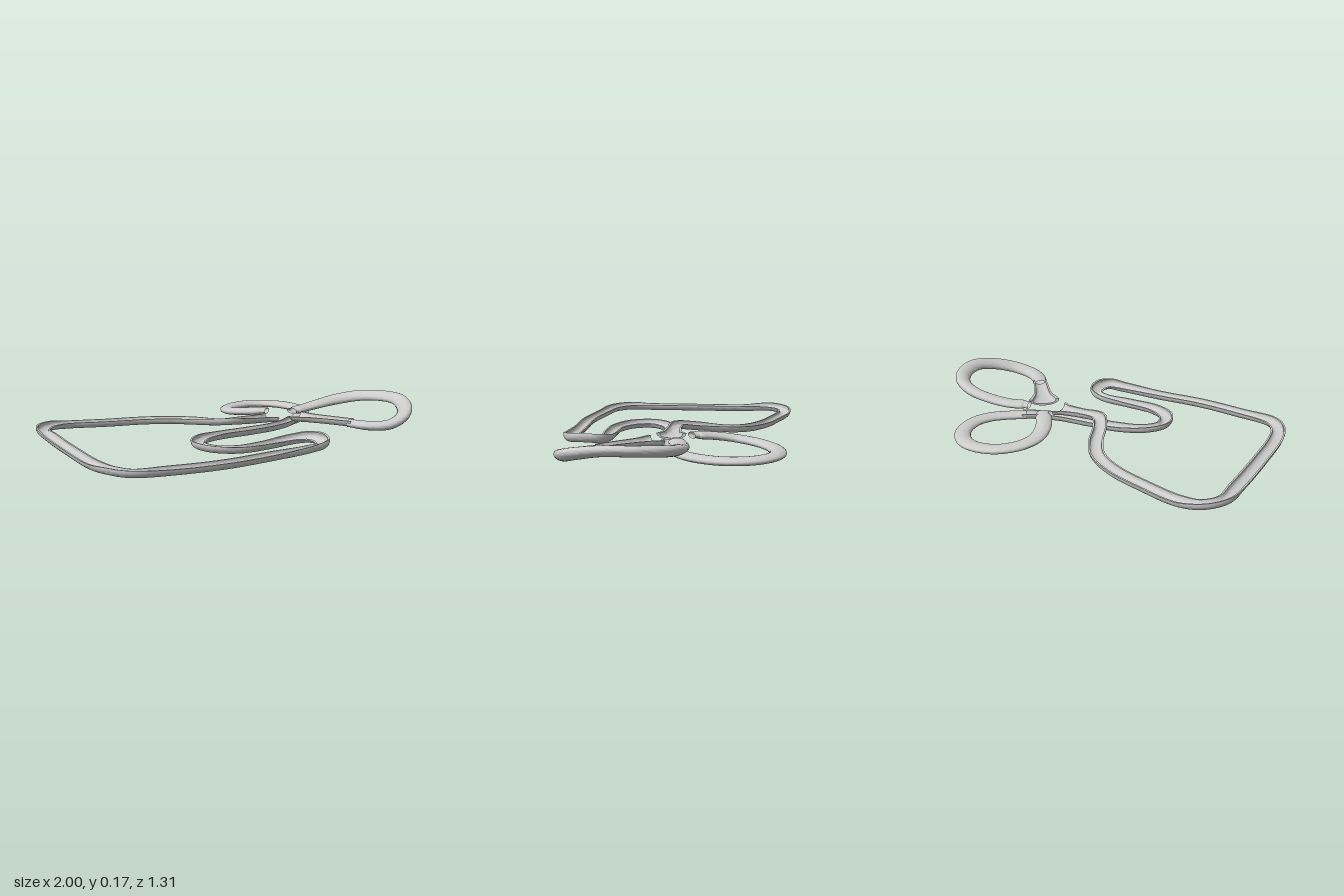
import * as THREE from 'three';
import { toCreasedNormals } from 'three/addons/utils/BufferGeometryUtils.js';

const material = new THREE.MeshStandardMaterial({ color: 0xcccccc, side: THREE.DoubleSide });

// Open trough wall: round outer arc left to right, flatter inner floor back again
function channelSection() {
  const ring = [], n = 14;
  const soft = (v, power) => Math.sign(v) * Math.abs(v) ** power;
  for (let i = 0; i <= n; i++) {
    const a = Math.PI * (1 + i / n);
    ring.push([0.038 * Math.cos(a), 0.018 + 0.036 * Math.sin(a)]);
  }
  for (let i = n; i >= 0; i--) {
    const a = Math.PI * (1 + i / n);
    ring.push([0.029 * soft(Math.cos(a), 0.85), 0.018 + 0.025 * soft(Math.sin(a), 0.6)]);
  }
  return ring;
}

// Flattened closed tube
function tubeSection() {
  const ring = [], n = 24;
  for (let i = 0; i < n; i++) {
    const a = (2 * Math.PI * i) / n;
    ring.push([0.042 * Math.cos(a), 0.02 * Math.sin(a)]);
  }
  return ring;
}

// Sweeps a section along rows of [x, y, z, bank = 0, width = 1, height = 1]
function sweep(name, rows, ring, capped) {
  const path = new THREE.CatmullRomCurve3(rows.map(([x, y, z]) => new THREE.Vector3(x, y, z)));
  const extra = new THREE.CatmullRomCurve3(
    rows.map(([, , , bank = 0, w = 1, h = 1]) => new THREE.Vector3(bank, w, h)), false, 'catmullrom', 0.3);
  const steps = (rows.length - 1) * 10, n = ring.length;
  const positions = [], index = [];
  for (let i = 0; i <= steps; i++) {
    const p = path.getPoint(i / steps), t = path.getTangent(i / steps), e = extra.getPoint(i / steps);
    const right = new THREE.Vector3(-t.z, 0, t.x).normalize();
    const up = new THREE.Vector3().crossVectors(right, t);
    right.applyAxisAngle(t, -e.x);
    up.applyAxisAngle(t, -e.x);
    for (const [r, u] of ring) {
      const v = p.clone().addScaledVector(right, r * e.y).addScaledVector(up, u * e.z);
      positions.push(v.x, v.y, v.z);
    }
  }
  for (let i = 0; i < steps; i++) {
    for (let j = 0; j < n; j++) {
      const a = i * n + j, b = i * n + ((j + 1) % n);
      index.push(a, a + n, b, b, a + n, b + n);
    }
  }
  // Close the wall thickness at both ends
  if (capped) {
    for (let j = 0; j < n / 2 - 1; j++) {
      const a = j, b = j + 1, c = n - 2 - j, d = n - 1 - j, s = steps * n;
      index.push(a, b, c, a, c, d, s + a, s + c, s + b, s + a, s + d, s + c);
    }
  }
  const geometry = new THREE.BufferGeometry();
  geometry.setAttribute('position', new THREE.Float32BufferAttribute(positions, 3));
  geometry.setIndex(index);
  const mesh = new THREE.Mesh(toCreasedNormals(geometry, 0.7), material);
  mesh.name = name;
  return mesh;
}

export function createModel() {
  const group = new THREE.Group();
  group.name = 'trackCircuit';

  // Long open channel, from the flared mouth round to the hairpins and under the mouth
  const channel = [
    [0.235, 0.07, -0.055, 0, 2], [0.19, 0.071, -0.045, 0, 1.3], [0.1, 0.074, -0.028],
    [-0.01, 0.078, -0.02, -0.15], [-0.08, 0.065, -0.09, -0.15], [-0.16, 0.046, -0.225],
    [-0.25, 0.036, -0.32], [-0.4, 0.03, -0.385], [-0.6, 0.026, -0.415], [-0.8, 0.028, -0.433],
    [-0.9, 0.034, -0.405, 0.2], [-0.96, 0.036, -0.31, 0.25], [-0.935, 0.028, -0.15],
    [-0.88, 0.025, 0.15], [-0.82, 0.025, 0.42], [-0.775, 0.03, 0.53, 0.15], [-0.69, 0.028, 0.605, 0.15],
    [-0.5, 0.024, 0.612], [-0.25, 0.024, 0.597], [0, 0.026, 0.542], [0.22, 0.034, 0.497, 0.2],
    [0.3, 0.042, 0.47, 0.4], [0.318, 0.048, 0.395, 0.5], [0.285, 0.042, 0.32, 0.4],
    [0.21, 0.034, 0.302, 0.2], [0.05, 0.026, 0.338], [-0.1, 0.024, 0.357, -0.1],
    [-0.215, 0.026, 0.31, -0.2], [-0.263, 0.026, 0.21, -0.2], [-0.205, 0.024, 0.108, -0.15],
    [-0.08, 0.021, 0.043], [0.08, 0.02, 0.003], [0.23, 0.021, -0.037, 0, 0.9],
    [0.33, 0.023, -0.087, 0, 0.9], [0.415, 0.027, -0.155, 0, 0.95],
  ];
  group.add(sweep('openChannel', channel, channelSection(), true));

  // Covered round loop that follows on from the channel, ending in a narrower neck
  const smallLoop = [
    [0.4, 0.027, -0.14, 0, 0.85], [0.47, 0.03, -0.215, 0, 0.95], [0.52, 0.034, -0.3], [0.535, 0.035, -0.4],
    [0.49, 0.035, -0.52], [0.4, 0.035, -0.595], [0.31, 0.036, -0.612], [0.2, 0.038, -0.57],
    [0.125, 0.045, -0.47], [0.112, 0.055, -0.37], [0.15, 0.07, -0.275], [0.22, 0.084, -0.195],
    [0.232, 0.086, -0.184, 0, 0.8, 0.8], [0.252, 0.088, -0.166, 0, 0.8, 0.8],
  ];
  group.add(sweep('smallLoopTube', smallLoop, tubeSection(), false));

  // Covered loop that climbs away and comes back down, starting from a narrower neck
  const largeLoop = [
    [0.385, 0.085, -0.128, 0, 0.8, 0.8], [0.405, 0.085, -0.137, 0, 0.8, 0.8], [0.418, 0.085, -0.143],
    [0.49, 0.086, -0.18], [0.6, 0.097, -0.215, -0.1, 1, 1.15], [0.715, 0.112, -0.228, -0.25, 1, 1.3],
    [0.83, 0.13, -0.195, -0.35, 1, 1.3], [0.92, 0.142, -0.1, -0.4, 1, 1.2], [0.96, 0.143, 0.03, -0.4, 1, 1.2],
    [0.93, 0.118, 0.16, -0.4, 1, 1.3], [0.855, 0.088, 0.25, -0.3, 1, 1.35], [0.76, 0.066, 0.282, -0.15, 1, 1.3],
    [0.67, 0.062, 0.25, -0.05, 1, 1.2], [0.585, 0.067, 0.175, 0, 0.9],
  ];
  group.add(sweep('largeLoopTube', largeLoop, tubeSection(), false));

  // Flared open mouth at the low end of the large loop
  const mouth = [
    [0.6, 0.067, 0.188, 0, 1], [0.52, 0.069, 0.115, 0, 1.1], [0.44, 0.07, 0.04, 0, 1.35],
    [0.37, 0.071, -0.025, 0, 2.2],
  ];
  group.add(sweep('flaredMouth', mouth, channelSection(), true));

  return group;
}
